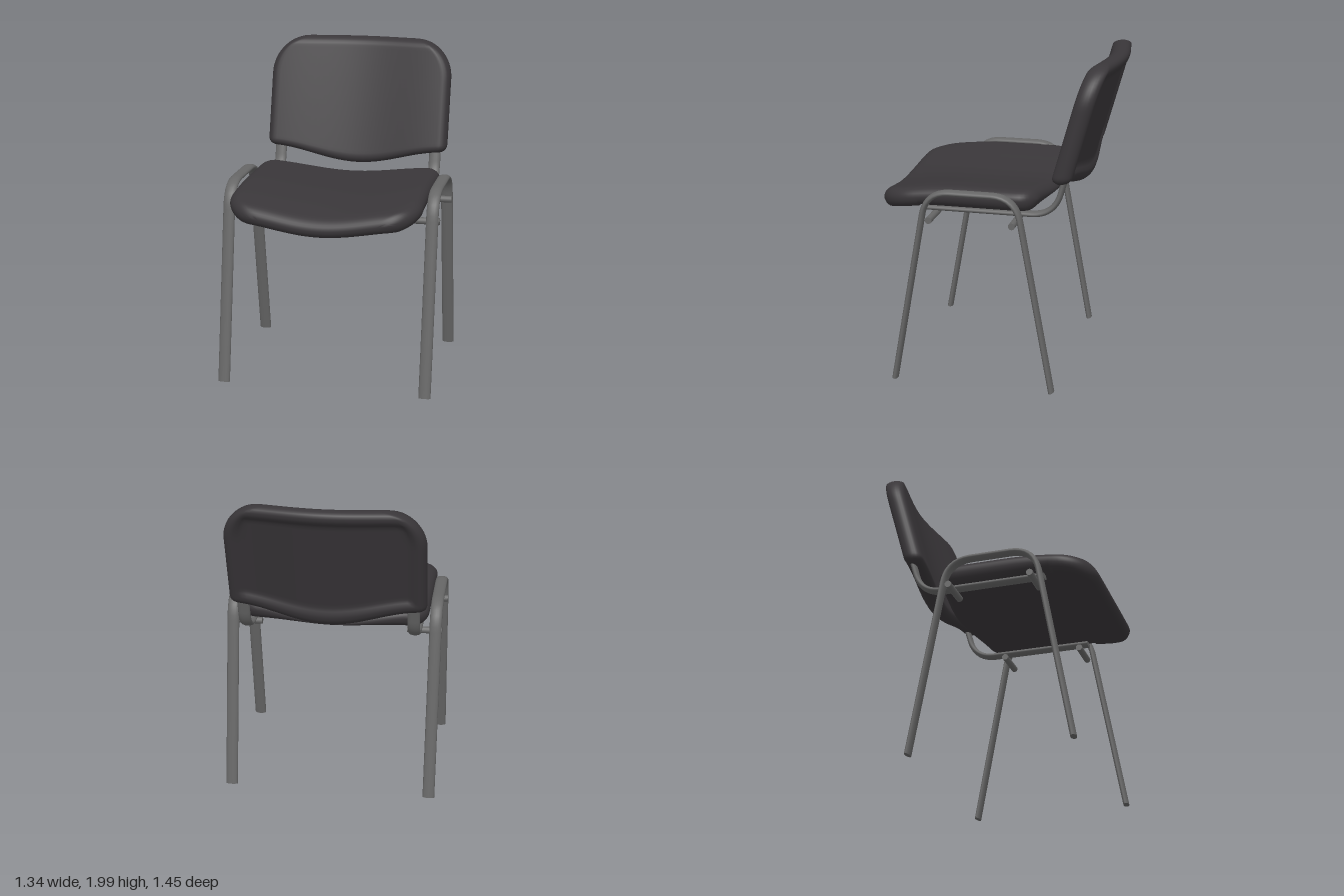
import * as THREE from 'three';
import { toCreasedNormals } from 'three/addons/utils/BufferGeometryUtils.js';

const fabric = new THREE.MeshStandardMaterial({ color: 0x393639 });
const metal = new THREE.MeshStandardMaterial({ color: 0x666666 });
const { lerp, smoothstep } = THREE.MathUtils;

// 1 on the centre line, fading smoothly to 0 at the sides
const crown = (x) => (1 + Math.cos(Math.PI * Math.min(1, Math.abs(x) / 0.59))) / 2;
// quarter-round rise over distance r from an edge
const roundEdge = (d, r) => Math.sqrt(1 - (1 - Math.min(1, Math.max(0, d) / r)) ** 2);
// half width at distance d from an end whose corners are elliptic (a wide, b long)
const cornerInset = (d, a, b) => a * (1 - roundEdge(d, b));

// parameters from -1 to 1, packed closer near the edges
function spread(n, extra = []) {
  const list = [...extra];
  for (let i = 0; i <= n; i++) list.push(Math.sin((i / n - 0.5) * Math.PI));
  return list.sort((p, q) => p - q);
}

// Closed pad: two sheets (side +1 and -1) that meet along the rim
function pad(name, vs, point) {
  const us = spread(40);
  const pos = [];
  const idx = [];
  for (const side of [1, -1]) {
    const base = pos.length / 3;
    for (const v of vs) for (const u of us) pos.push(...point(u, v, side));
    for (let j = 0; j < vs.length - 1; j++) {
      for (let i = 0; i < us.length - 1; i++) {
        const a = base + j * us.length + i;
        const b = a + 1, c = a + us.length, d = c + 1;
        if (side > 0) idx.push(a, b, d, a, d, c);
        else idx.push(a, d, b, a, c, d);
      }
    }
  }
  const geo = new THREE.BufferGeometry();
  geo.setAttribute('position', new THREE.Float32BufferAttribute(pos, 3));
  geo.setIndex(idx);
  const mesh = new THREE.Mesh(toCreasedNormals(geo, 1.0), fabric);
  mesh.name = name;
  return mesh;
}

// Seat: v runs front to rear, dished across, with a deeper front lip underneath
function seatPoint(u, v, side) {
  const z0 = lerp(0.70, -0.28, (v + 1) / 2);
  const front = 0.70 - z0, rear = z0 + 0.28;
  const w = 0.59 - cornerInset(front, 0.2, 0.22) - cornerInset(rear, 0.13, 0.12);
  const x = u * w;
  const c = crown(x);
  const z = z0 + c * v * v * (v < 0 ? 0.03 : -0.04);
  const top = 1.19 - 0.07 * Math.max(0, (z - 0.15) / 0.58) ** 2 + 0.055 * (1 - c);
  const bottom = v < -0.475 ? top - 0.12 : 1.115;
  const mid = top - 0.055;
  const r = roundEdge(w * (1 - Math.abs(u)), 0.07) * roundEdge(Math.min(front, rear), 0.07);
  return [x, mid + ((side > 0 ? top : bottom) - mid) * r, z];
}

// Backrest: v runs bottom to top, leaning back, with a recessed rear panel
function backPoint(u, v, side) {
  const t = (v + 1) / 2;
  const low = 0.70 * t, high = 0.70 * (1 - t);
  const w = 0.595 - cornerInset(high, 0.24, 0.24) - cornerInset(low, 0.05, 0.05);
  const x = u * w;
  const c = crown(x);
  const y = 1.30 + low - 0.10 * c * (1 - t) ** 2;
  const e1 = w * (1 - Math.abs(u)), e2 = Math.min(low, high);
  const r = roundEdge(e1, 0.045) * roundEdge(e2, 0.045);
  const recess = side < 0 ? 0.025 * smoothstep(Math.min(e1, e2), 0.06, 0.1) : 0;
  const mid = -0.43 - 0.28 * (y - 1.32) - 0.055 * c;
  return [x, y, mid + side * (0.06 * r - recess)];
}

// Path in the side plane through [z, y] points, with rounded bends
function bentPath(points, bend) {
  const p = points.map(([z, y]) => new THREE.Vector3(0, y, z));
  const path = new THREE.CurvePath();
  let from = p[0];
  for (let i = 1; i < p.length - 1; i++) {
    const toward = (q) => p[i].clone().add(q.clone().sub(p[i]).setLength(bend));
    const a = toward(p[i - 1]), b = toward(p[i + 1]);
    path.add(new THREE.LineCurve3(from, a));
    path.add(new THREE.QuadraticBezierCurve3(a, p[i], b));
    from = b;
  }
  path.add(new THREE.LineCurve3(from, p[p.length - 1]));
  return path;
}

// Oval steel tube with closed ends
function ovalTube(name, points, bend, x) {
  const radius = 0.018;
  const path = bentPath(points, bend);
  const group = new THREE.Group();
  group.name = name;
  group.add(new THREE.Mesh(new THREE.TubeGeometry(path, 90, radius, 16), metal));
  for (const end of [0, 1]) {
    const cap = new THREE.Mesh(new THREE.CircleGeometry(radius, 16), metal);
    const at = path.getPoint(end);
    const out = path.getTangent(end).multiplyScalar(end ? 1 : -1);
    cap.position.copy(at);
    cap.lookAt(at.clone().add(out));
    group.add(cap);
  }
  group.children.forEach((m) => { m.name = name + 'Part'; });
  group.scale.x = 0.0375 / radius;
  group.position.x = x;
  return group;
}

export function createModel() {
  const model = new THREE.Group();
  model.name = 'chair';
  model.add(pad('seat', spread(40, [-0.48, -0.47]), seatPoint));
  model.add(pad('backrest', spread(40), backPoint));

  for (const [label, s] of [['left', 1], ['right', -1]]) {
    // front and rear legs joined over the top in one bent tube
    model.add(ovalTube(label + 'Legs',
      [[0.59, 0.01], [0.372, 1.23], [-0.176, 1.23], [-0.40, 0.01]], 0.15, s * 0.632));
    // seat rail that turns up into the backrest
    model.add(ovalTube(label + 'BackSupport',
      [[0.40, 1.10], [-0.385, 1.10], [-0.486, 1.46]], 0.14, s * 0.515));
    // short bars tying the rail to the legs
    for (const [place, z] of [['Front', 0.35], ['Rear', -0.16]]) {
      const bar = new THREE.Mesh(new THREE.CylinderGeometry(0.021, 0.021, 0.215, 16), metal);
      bar.name = label + place + 'Crossbar';
      bar.rotation.z = Math.PI / 2;
      bar.position.set(s * 0.5625, 1.06, z);
      model.add(bar);
    }
  }
  return model;
}
